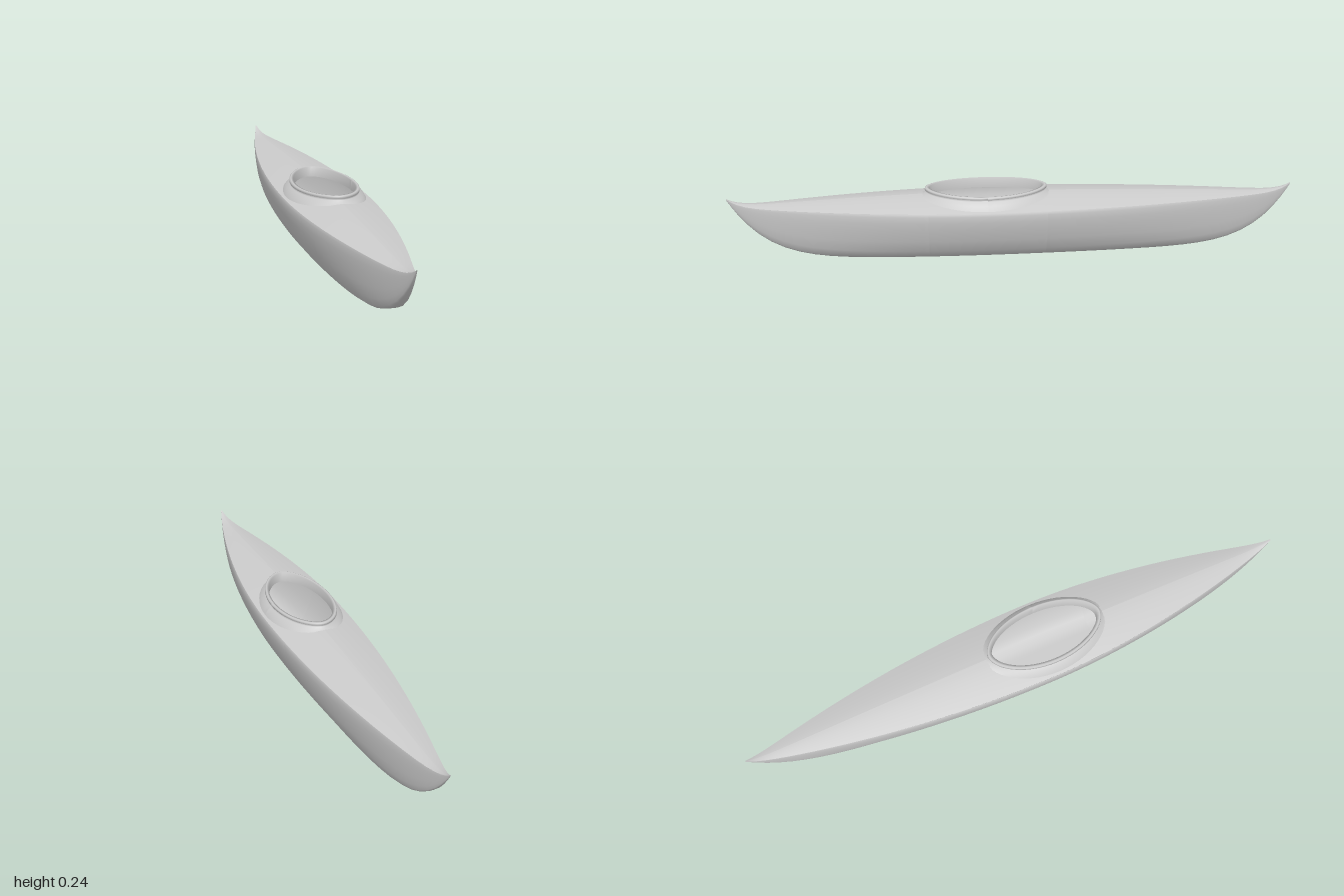
import * as THREE from 'three';

const material = new THREE.MeshStandardMaterial({ color: 0xcccccc, side: THREE.DoubleSide });
const MID = 0.1; // widest station, also the cockpit centre
const HOLE = { a: 0.1, b: 0.205 }; // deck opening half width and half length

// Lines of the boat along z
const along = (z) => (z > MID ? (z - MID) / (1 - MID) : (MID - z) / (1 + MID));
const beam = (z) => 0.002 + 0.146 * (1 - Math.pow(along(z), z > MID ? 1.85 : 2));
const sheer = (z) => 0.189 + 0.03 * Math.pow(Math.abs(z), 24);
const keel = (z) => 0.216 * Math.pow(Math.abs(z), 8);
const deckHeight = (x, z) => {
  const crown = 0.033 * (1 - Math.pow(along(z), 1.6));
  return sheer(z) + crown * (1 - Math.pow(Math.min(1, Math.abs(x) / beam(z)), 1.4));
};

// Skin a grid of points given as rows of [x, y, z]
function loft(name, rows) {
  const n = rows[0].length;
  const index = [];
  for (let i = 0; i < rows.length - 1; i++) {
    for (let j = 0; j < n - 1; j++) {
      const p = i * n + j;
      index.push(p, p + n, p + 1, p + 1, p + n, p + n + 1);
    }
  }
  const geometry = new THREE.BufferGeometry();
  geometry.setAttribute('position', new THREE.Float32BufferAttribute(rows.flat(2), 3));
  geometry.setIndex(index);
  geometry.computeVertexNormals();
  const mesh = new THREE.Mesh(geometry, material);
  mesh.name = name;
  return mesh;
}

// Stations: dense at the tips and at both ends of the cockpit
function stations() {
  const list = [];
  const span = (from, to, count) => {
    for (let i = 0; i < count; i++) {
      list.push(from + (to - from) * (0.5 - 0.5 * Math.cos((Math.PI * i) / count)));
    }
  };
  span(-1, MID - HOLE.b, 24);
  span(MID - HOLE.b, MID + HOLE.b, 24);
  span(MID + HOLE.b, 1, 20);
  list.push(1);
  return list;
}

// Half section from gunwale to keel: fraction of beam, fraction of depth
const SECTION = [
  [0.975, 1], [1, 0.95], [0.985, 0.83], [0.95, 0.69], [0.86, 0.44],
  [0.72, 0.21], [0.56, 0.06], [0.4, 0.005], [0.2, 0],
];

function buildHull(zs) {
  const port = SECTION.map(([f, v]) => [f, v]);
  const starboard = SECTION.map(([f, v]) => [-f, v]).reverse();
  const full = [...port, [0, 0], ...starboard];
  return loft('hull', zs.map((z) => full.map(([f, v]) => [
    f * beam(z), keel(z) + (sheer(z) - keel(z)) * v, z,
  ])));
}

// Each deck half runs from the gunwale to the cockpit opening or the centreline
function buildDeckHalf(zs, side) {
  const steps = 8;
  const rows = zs.map((z) => {
    const t = (z - MID) / HOLE.b;
    const inner = HOLE.a * Math.sqrt(Math.max(0, 1 - t * t));
    const row = [];
    for (let i = 0; i <= steps; i++) {
      const k = side > 0 ? i / steps : 1 - i / steps;
      const x = inner + (beam(z) * 0.975 - inner) * k;
      row.push([side * x, deckHeight(x, z), z]);
    }
    return row;
  });
  return loft(side > 0 ? 'deckLeft' : 'deckRight', rows);
}

// Coaming: rings of slightly pointed ovals, from the flared foot over the lip to the inside
function buildCoaming() {
  const rings = [
    { a: 0.136, b: 0.235, onDeck: true },
    { a: 0.126, b: 0.225, y: 0.21 },
    { a: 0.112, b: 0.213, y: 0.221 },
    { a: 0.107, b: 0.21, y: 0.225 },
    { a: 0.112, b: 0.215, y: 0.227 },
    { a: 0.111, b: 0.214, y: 0.234 },
    { a: 0.106, b: 0.209, y: 0.236 },
    { a: 0.098, b: 0.198, y: 0.234 },
    { a: 0.098, b: 0.198, y: 0.2 },
  ];
  const count = 56;
  const rows = rings.map(({ a, b, y, onDeck }) => {
    const row = [];
    for (let i = 0; i <= count; i++) {
      const angle = (i / count) * Math.PI * 2;
      const c = Math.cos(angle);
      const s = Math.sin(angle);
      const x = a * Math.sign(c) * Math.pow(Math.abs(c), 1.12);
      const z = MID + b * s;
      // the lip rises towards the front and back of the cockpit
      const height = onDeck ? deckHeight(x, z) - 0.001 : y + 0.007 * s * s;
      row.push([x, height, z]);
    }
    return row;
  });
  return loft('cockpitCoaming', rows);
}

export function createModel() {
  const kayak = new THREE.Group();
  kayak.name = 'kayak';
  const zs = stations();
  kayak.add(buildHull(zs), buildDeckHalf(zs, 1), buildDeckHalf(zs, -1), buildCoaming());
  return kayak;
}
